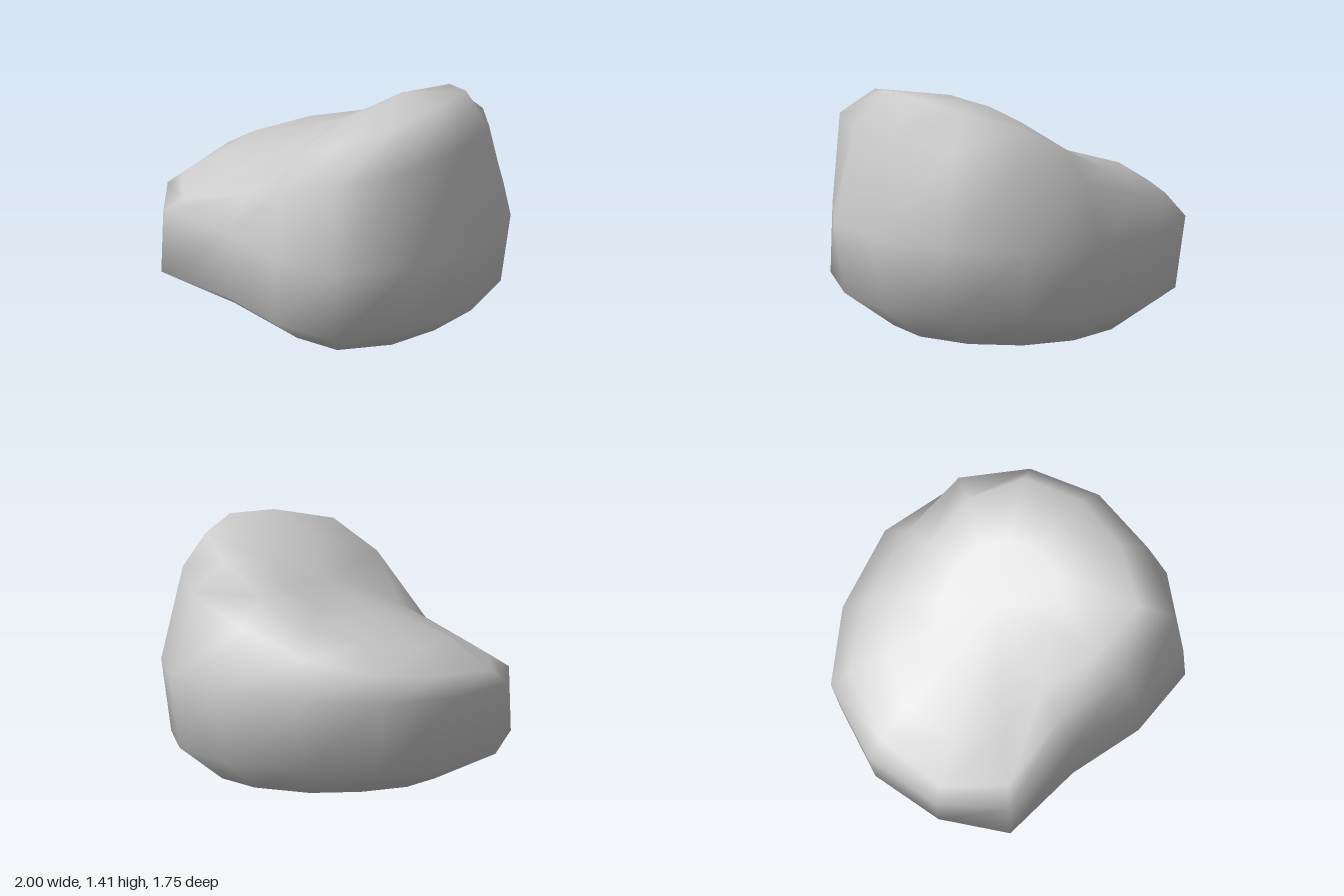
import * as THREE from 'three';

// Widest outline of the rock in plan, as [x, z], running from +x round past the front
const OUTLINE = [
  [1, -0.02], [0.94, 0.44], [0.68, 0.83], [0.26, 0.87], [-0.18, 0.78], [-0.68, 0.775], [-0.94, 0.44],
  [-1, -0.02], [-0.83, -0.47], [-0.45, -0.74], [0.04, -0.88], [0.49, -0.78], [0.83, -0.47],
];

// Upper rings: scale of the outline and height for each outline point
const SHOULDER = {
  r: [0.87, 0.89, 0.95, 0.9, 0.84, 0.88, 0.92, 0.9, 0.88, 0.84, 0.8, 0.87, 0.87],
  y: [1.19, 1.17, 1.16, 1.0, 0.83, 0.68, 0.67, 0.71, 0.74, 0.82, 0.96, 1.1, 1.17],
};
const CREST = {
  r: [0.72, 0.73, 0.76, 0.72, 0.62, 0.63, 0.7, 0.7, 0.66, 0.62, 0.6, 0.66, 0.73],
  y: [1.41, 1.385, 1.31, 1.17, 0.93, 0.82, 0.83, 0.84, 0.88, 0.95, 1.11, 1.27, 1.37],
};
const SADDLE = {
  r: OUTLINE.map(() => 0.36),
  y: [1.35, 1.34, 1.27, 1.15, 1.03, 0.95, 0.94, 0.955, 0.97, 1.03, 1.14, 1.25, 1.33],
};

// Lower rings follow simple rules: the front wall stands a little steeper
const ruled = (rule) => {
  const points = OUTLINE.map(([x, z]) => rule(x, z));
  return { r: points.map((p) => p[0]), y: points.map((p) => p[1]) };
};
const BASE = ruled((x) => [x < -0.5 ? 0.6 : 0.67, 0.03]);
const SKIRT = ruled((x, z) => (z > 0.7 ? [1, 0.24] : [0.94, 0.21 + 0.02 * x]));
const WAIST = ruled((x, z) => [z > 0.7 ? 0.99 : 1, 0.62 + 0.02 * x]);

// Joins the rings into one closed skin with a centre point at each end
function skin(rings, bottomY, topY) {
  const n = OUTLINE.length;
  const positions = [];
  const index = [];
  rings.forEach(({ r, y }) => {
    OUTLINE.forEach(([x, z], j) => positions.push(x * r[j], y[j], z * r[j]));
  });
  const bottom = rings.length * n;
  const top = bottom + 1;
  positions.push(0.04, bottomY, 0.05, 0, topY, 0);
  for (let j = 0; j < n; j++) {
    const k = (j + 1) % n;
    for (let i = 0; i < rings.length - 1; i++) {
      const a = i * n + j, b = i * n + k;
      index.push(a, a + n, b, b, a + n, b + n);
    }
    const last = (rings.length - 1) * n;
    index.push(bottom, j, k, top, last + k, last + j);
  }
  const geometry = new THREE.BufferGeometry();
  geometry.setAttribute('position', new THREE.Float32BufferAttribute(positions, 3));
  geometry.setIndex(index);
  geometry.computeVertexNormals();
  return geometry;
}

export function createModel() {
  const group = new THREE.Group();
  group.name = 'boulder';
  const rock = new THREE.Mesh(
    skin([BASE, SKIRT, WAIST, SHOULDER, CREST, SADDLE], 0, 1.13),
    new THREE.MeshStandardMaterial({ color: 0xcccccc }),
  );
  rock.name = 'rock';
  group.add(rock);
  return group;
}
